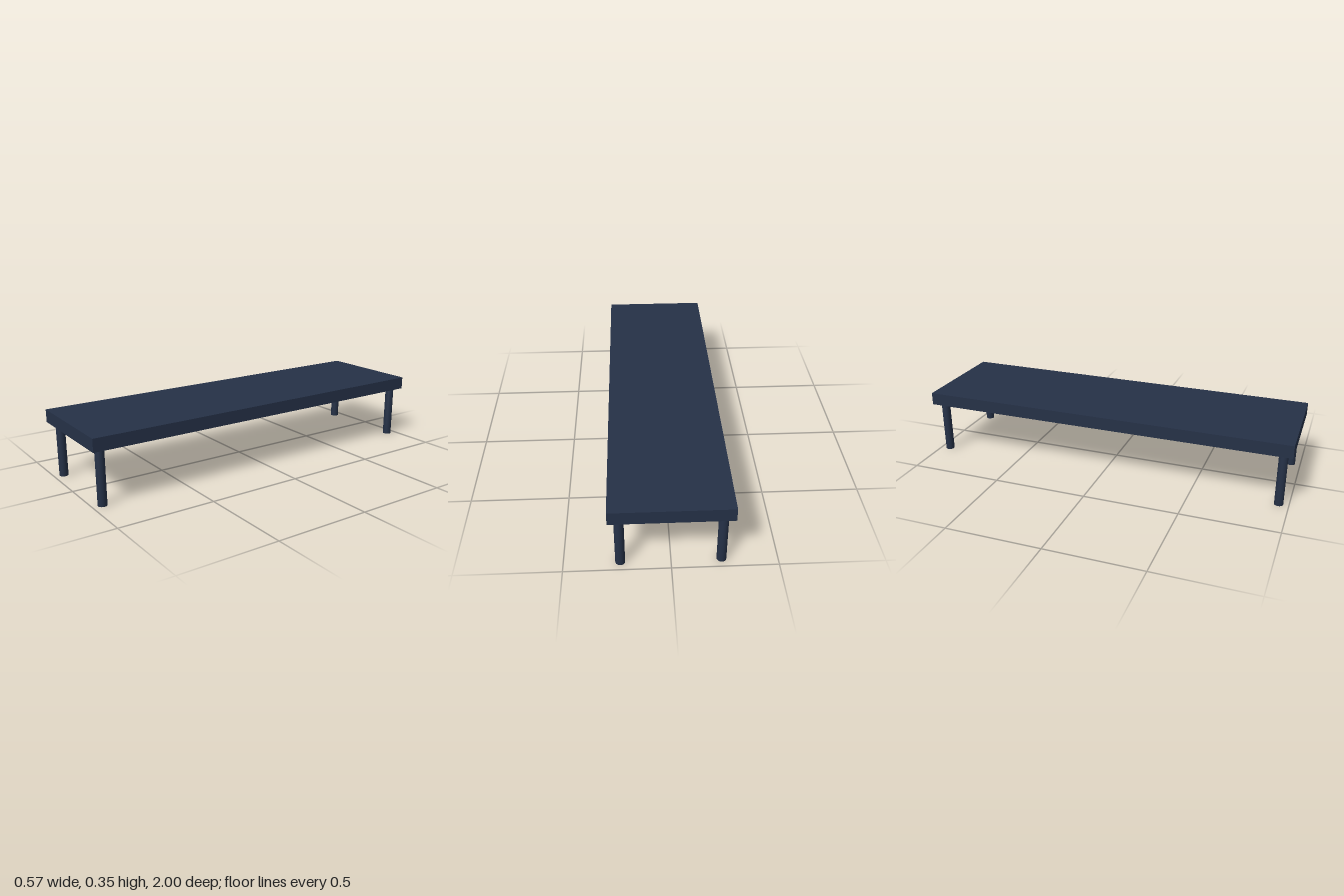
import * as THREE from 'three';
import { mergeVertices } from 'three/addons/utils/BufferGeometryUtils.js';

const WIDTH = 0.572, LENGTH = 2, HEIGHT = 0.352, THICKNESS = 0.067;
const LEG_RADIUS = 0.023, LEG_X = 0.236, LEG_Z = 0.949;

// Cylinder whose side and caps share smooth normals
function smoothCylinder(radius, height) {
  const raw = new THREE.CylinderGeometry(radius, radius, height, 32);
  raw.deleteAttribute('normal');
  raw.deleteAttribute('uv');
  const geometry = mergeVertices(raw);
  geometry.computeVertexNormals();
  return geometry;
}

export function createModel() {
  const model = new THREE.Group();
  model.name = 'lowTable';

  const navy = new THREE.MeshStandardMaterial({ color: 0x253147 });
  navy.name = 'darkNavy';

  // Long flat slab
  const top = new THREE.Mesh(new THREE.BoxGeometry(WIDTH, THICKNESS, LENGTH), navy);
  top.name = 'tableTop';
  top.position.y = HEIGHT - THICKNESS / 2;
  model.add(top);

  // Four round legs, one near each corner
  const legHeight = HEIGHT - THICKNESS;
  const legGeometry = smoothCylinder(LEG_RADIUS, legHeight);
  for (const [zSide, end] of [[1, 'front'], [-1, 'back']]) {
    for (const [xSide, side] of [[1, 'Left'], [-1, 'Right']]) {
      const leg = new THREE.Mesh(legGeometry, navy);
      leg.name = `${end}${side}Leg`;
      leg.position.set(xSide * LEG_X, legHeight / 2, zSide * LEG_Z);
      model.add(leg);
    }
  }

  return model;
}
